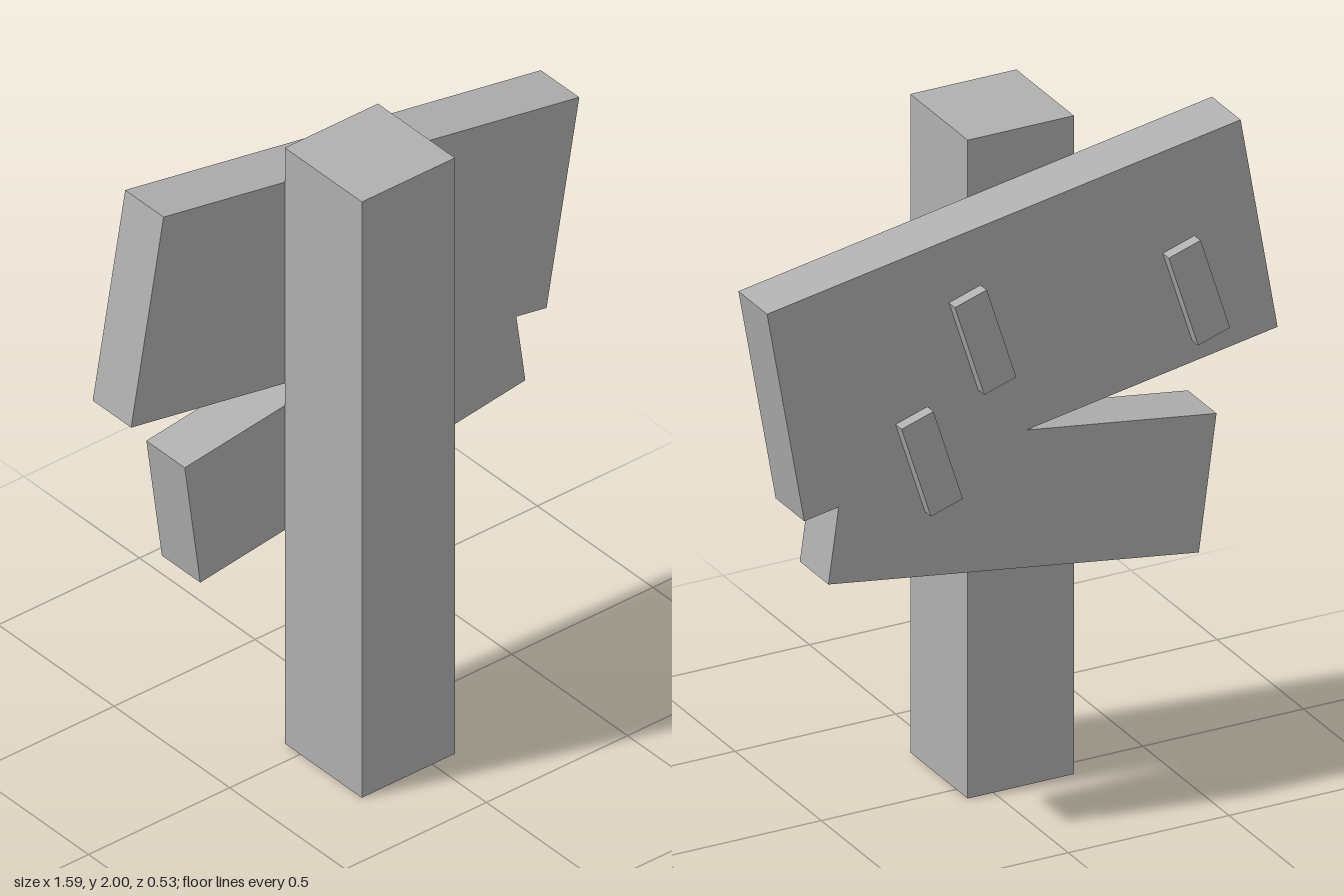
import * as THREE from 'three';

export function createModel() {
  const group = new THREE.Group();
  group.name = 'signpost';
  const gray = new THREE.MeshStandardMaterial({ color: 0xb0b0b0 });
  gray.name = 'plain gray';

  const add = (name, geometry, x, y, z, tilt = 0) => {
    const mesh = new THREE.Mesh(geometry, gray);
    mesh.name = name;
    mesh.position.set(x, y, z);
    mesh.rotation.z = tilt;
    group.add(mesh);
  };

  // Square upright, standing off centre in front of the boards
  add('post', new THREE.BoxGeometry(0.33, 2, 0.333), -0.085, 1, 0.1);

  // Two crossing planks joined into one flat outline
  const outline = new THREE.Shape([
    [-0.68, 1.96], [-0.795, 1.305], [-0.014, 1.168], [-0.605, 1.085],
    [-0.55, 0.675], [0.602, 0.838], [0.57, 1.066], [0.677, 1.047], [0.793, 1.702],
  ].map(([x, y]) => new THREE.Vector2(x, y)));
  const boards = new THREE.ExtrudeGeometry(outline, { depth: 0.166, bevelEnabled: false });
  add('boards', boards, 0, 0, -0.232);

  // Slanted raised bars on the back of the boards
  const bar = new THREE.BoxGeometry(0.104, 0.3, 0.036);
  for (const [x, y] of [[-0.533, 1.482], [0.132, 1.482], [0.298, 1.15]]) {
    add('backBar', bar, x, y, -0.249, -0.31);
  }
  return group;
}
